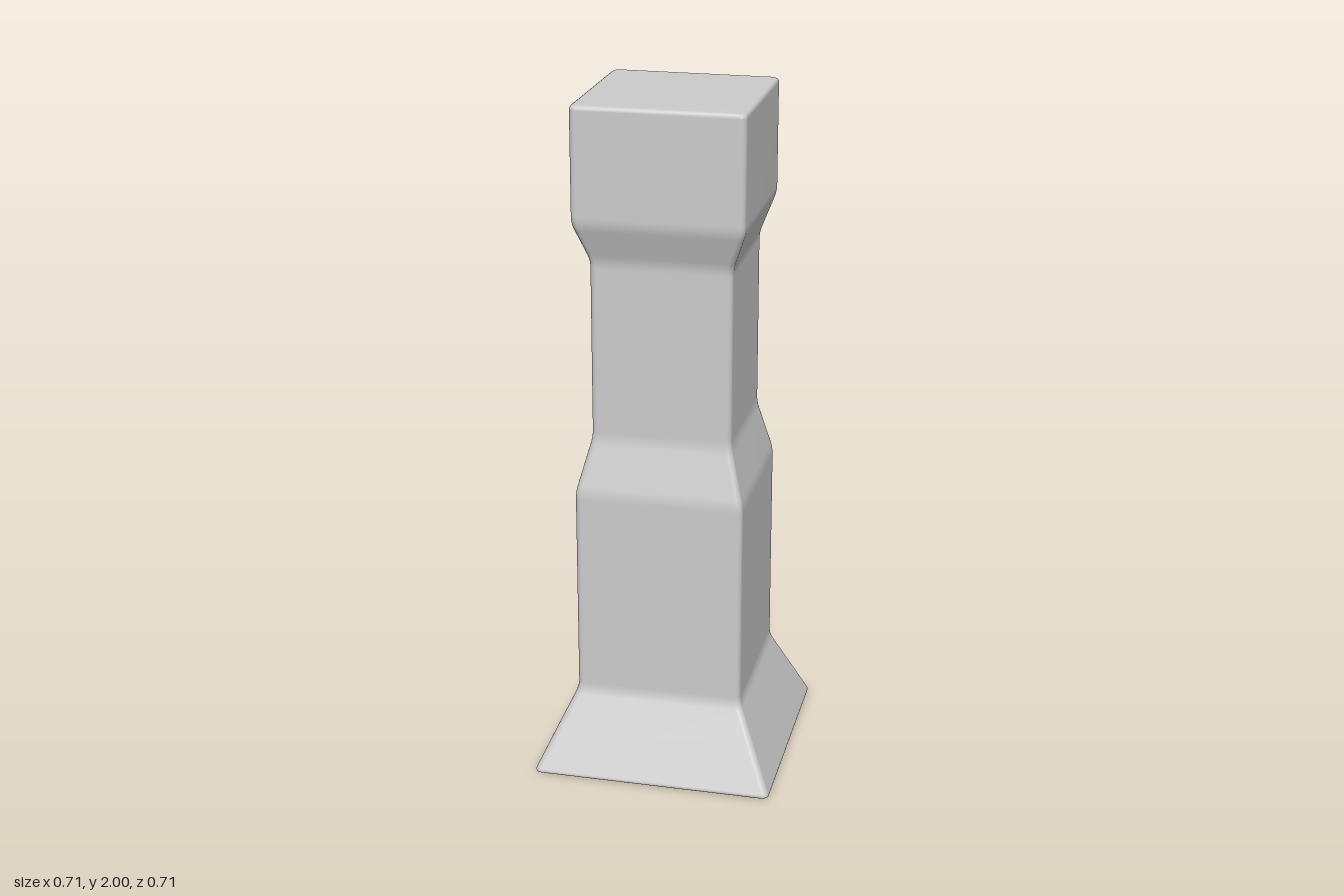
import * as THREE from 'three';

const CORNER = 0.018; // rounding of the vertical edges
const STEPS = 4;

// Side profile: [half width, height, softening distance at the bend]
const PROFILE = [
  [0, 0, 0],
  [0.357, 0, 0.015],
  [0.245, 0.245, 0.02],
  [0.245, 0.87, 0.02],
  [0.203, 1.03, 0.02],
  [0.203, 1.555, 0.02],
  [0.245, 1.67, 0.02],
  [0.245, 2, 0.014],
  [0, 2, 0],
];

// Replace every bend of the profile with a small curve
function softenProfile(profile) {
  const pts = profile.map(([w, y]) => new THREE.Vector2(w, y));
  const out = [pts[0]];
  for (let i = 1; i < pts.length - 1; i++) {
    const d = profile[i][2];
    const toward = (q) => q.clone().sub(pts[i]).setLength(d).add(pts[i]);
    const bend = new THREE.QuadraticBezierCurve(toward(pts[i - 1]), pts[i], toward(pts[i + 1]));
    out.push(...bend.getPoints(STEPS));
  }
  out.push(pts[pts.length - 1]);
  return out;
}

// Rounded square cross-section of half width w at height y
function squareRing(w, y) {
  const r = Math.min(CORNER, w);
  const ring = [];
  for (let k = 0; k < 4; k++) {
    const mid = (k + 0.5) * Math.PI / 2;
    const cx = Math.sign(Math.cos(mid)) * (w - r);
    const cz = Math.sign(Math.sin(mid)) * (w - r);
    for (let s = 0; s <= STEPS; s++) {
      const a = (k + s / STEPS) * Math.PI / 2;
      ring.push(cx + r * Math.cos(a), y, cz + r * Math.sin(a));
    }
  }
  return ring;
}

// Skin the cross-sections, including the flat top and underside
function loftSquare(profile) {
  const rows = softenProfile(profile);
  const n = 4 * (STEPS + 1);
  const positions = rows.flatMap((p) => squareRing(p.x, p.y));
  const index = [];
  for (let i = 0; i < rows.length - 1; i++) {
    for (let j = 0; j < n; j++) {
      const a = i * n + j;
      const b = i * n + (j + 1) % n;
      index.push(a, a + n, b, b, a + n, b + n);
    }
  }
  const geometry = new THREE.BufferGeometry();
  geometry.setAttribute('position', new THREE.Float32BufferAttribute(positions, 3));
  geometry.setIndex(index);
  geometry.computeVertexNormals();
  return geometry;
}

export function createModel() {
  const group = new THREE.Group();
  group.name = 'squarePillar';

  // Flared foot, lower block, narrow neck and head in one continuous body
  const material = new THREE.MeshStandardMaterial({ color: 0xcccccc });
  const body = new THREE.Mesh(loftSquare(PROFILE), material);
  body.name = 'pillarBody';
  group.add(body);

  return group;
}
